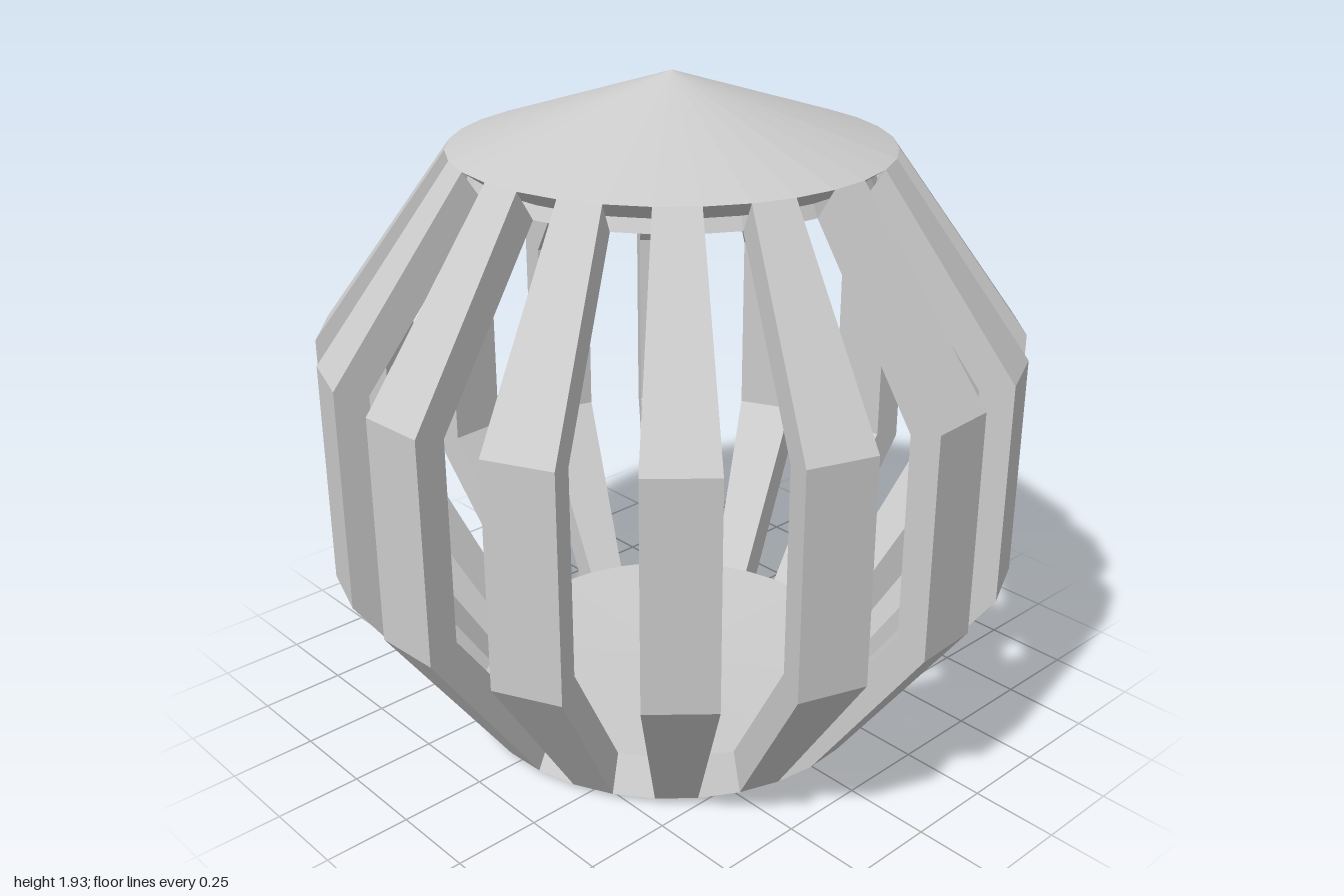
import * as THREE from 'three';

const RIBS = 16;
const STEP = (Math.PI * 2) / RIBS;
const START = THREE.MathUtils.degToRad(-2.25);
const material = new THREE.MeshStandardMaterial({ color: 0xcccccc, flatShading: true });
const sideMaterial = new THREE.MeshStandardMaterial({
  color: 0xcccccc, flatShading: true, side: THREE.DoubleSide,
});
const points = (list) => list.map(([r, y]) => new THREE.Vector2(r, y));

// closed disc-like part turned from a radius/height profile
function turned(name, profile) {
  const geometry = new THREE.LatheGeometry(points(profile), RIBS * 2, START);
  const mesh = new THREE.Mesh(geometry, material);
  mesh.name = name;
  return mesh;
}

// rib section: outer face upwards, inner face back down
const RIB = [
  [0.615, 0.02], [1, 0.56], [1, 1.2], [0.615, 1.73],
  [0.56, 1.645], [0.905, 1.17], [0.905, 0.59], [0.56, 0.12],
];

function createRib() {
  const rib = new THREE.Group();
  const shell = new THREE.LatheGeometry(points([...RIB, RIB[0]]), 1, START, STEP / 2);
  const faces = new THREE.Mesh(shell, material);
  faces.name = 'ribFaces';
  rib.add(faces);
  // flat radial sides
  const section = new THREE.ShapeGeometry(new THREE.Shape(points(RIB)));
  for (const angle of [START, START + STEP / 2]) {
    const side = new THREE.Mesh(section, sideMaterial);
    side.name = 'ribSide';
    side.rotation.y = angle - Math.PI / 2;
    rib.add(side);
  }
  return rib;
}

export function createModel() {
  const model = new THREE.Group();
  model.name = 'ribbedLantern';

  // shallow conical roof with a hollow underside
  model.add(turned('roof', [
    [0, 1.83], [0.56, 1.645], [0.545, 1.68], [0.615, 1.73], [0, 1.93],
  ]));

  // base slab with sloping rim
  model.add(turned('base', [[0, 0], [0.615, 0.02], [0.56, 0.12], [0, 0.1]]));

  // ring of bent ribs
  for (let i = 0; i < RIBS; i++) {
    const rib = createRib();
    rib.name = `rib${i + 1}`;
    rib.rotation.y = i * STEP;
    model.add(rib);
  }
  return model;
}
